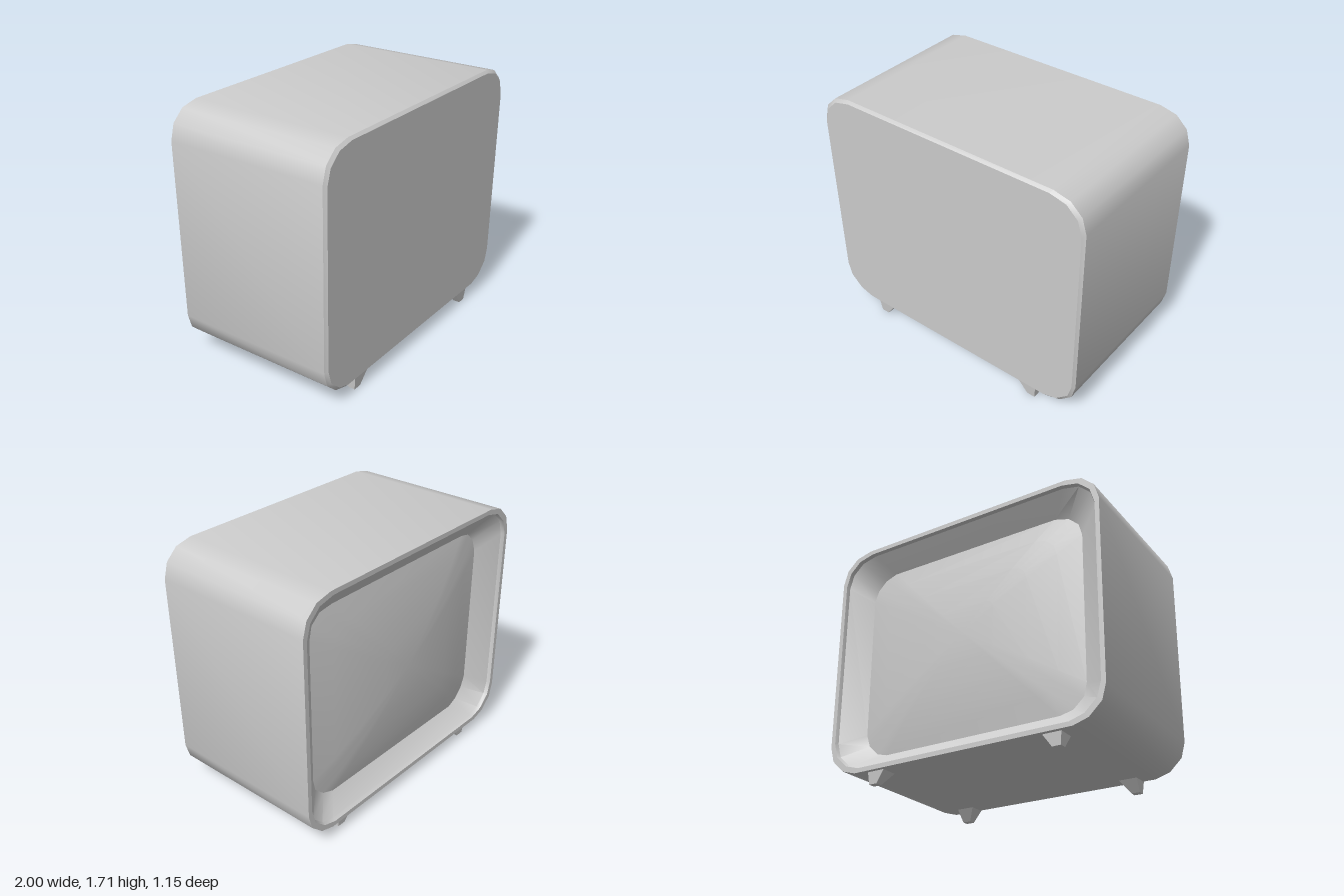
import * as THREE from 'three';
import { toCreasedNormals } from 'three/addons/utils/BufferGeometryUtils.js';

const CY = 0.895; // height of the casing's middle

// Right half of the casing outline, bottom to top; mirrored for the other half.
const half = [[0.775, 0.08], [0.875, 0.11], [0.96, 0.19], [0.988, 0.29],
  [1, 1.5], [0.97, 1.605], [0.89, 1.68], [0.775, 1.707]];
const outline = [...half, ...half.map(([x, y]) => [-x, y]).reverse()];

// The outline scaled about its middle, with z given by a rule.
function ring(sx, sy, zRule, dy = 0) {
  return outline.map(([x, y]) => {
    const px = x * sx, py = CY + (y - CY) * sy + dy;
    return new THREE.Vector3(px, py, zRule(px, py));
  });
}

// Skin a series of rings, running from front to back.
function loft(rings) {
  const pos = rings.flat().flatMap(p => p.toArray());
  const n = outline.length, index = [];
  for (let r = 0; r < rings.length - 1; r++) {
    for (let i = 0; i < n; i++) {
      const j = (i + 1) % n, a = r * n, b = a + n;
      index.push(a + i, b + i, a + j, a + j, b + i, b + j);
    }
  }
  const g = new THREE.BufferGeometry();
  g.setAttribute('position', new THREE.Float32BufferAttribute(pos, 3));
  g.setIndex(index);
  return toCreasedNormals(g, 0.65);
}

export function createModel() {
  const group = new THREE.Group();
  const grey = new THREE.MeshStandardMaterial({ color: 0xcccccc });
  const add = (name, geometry) => {
    const mesh = new THREE.Mesh(geometry, grey);
    mesh.name = name;
    group.add(mesh);
    return mesh;
  };

  // Slightly leaning closed panel, and a domed screen in the open end
  const panel = (x, y) => 0.555 + (y - 0.08) * 0.0125;
  const dome = (x, y) => -0.535 + 0.1 * (x * x + (y - CY) ** 2);
  const flat = z => () => z;
  const screenRing = s => ring(s, s, dome, -0.02);

  // Casing: panel, bevel, sides, thin rim, small step and sloping surround
  add('casing', loft([
    ring(0, 0, panel),
    ring(0.982, 0.978, panel),
    ring(1, 1, (x, y) => panel(x, y) - 0.018),
    ring(1, 1, flat(-0.575)),
    ring(0.97, 0.963, flat(-0.575)),
    ring(0.963, 0.955, flat(-0.55)),
    screenRing(0.815),
  ]));

  add('screen', loft([0.815, 0.65, 0.45, 0.22, 0].map(screenRing)));

  // Feet: upright on the outer sides, tapered on the inner sides
  for (const sx of [-1, 1]) {
    for (const sz of [-1, 1]) {
      const g = new THREE.BoxGeometry(0.12, 0.1, 0.105);
      const p = g.attributes.position;
      for (let i = 0; i < p.count; i++) {
        const top = p.getY(i) > 0;
        const outX = p.getX(i) * sx > 0, outZ = p.getZ(i) * sz > 0;
        const x = outX ? (top ? 0.69 : 0.68) : (top ? 0.555 : 0.622);
        const z = outZ ? (top ? 0.548 : 0.538) : (top ? 0.425 : 0.492);
        p.setXYZ(i, x * sx, top ? 0.095 : 0, z * sz);
      }
      g.computeVertexNormals();
      add('foot', g);
    }
  }
  return group;
}
